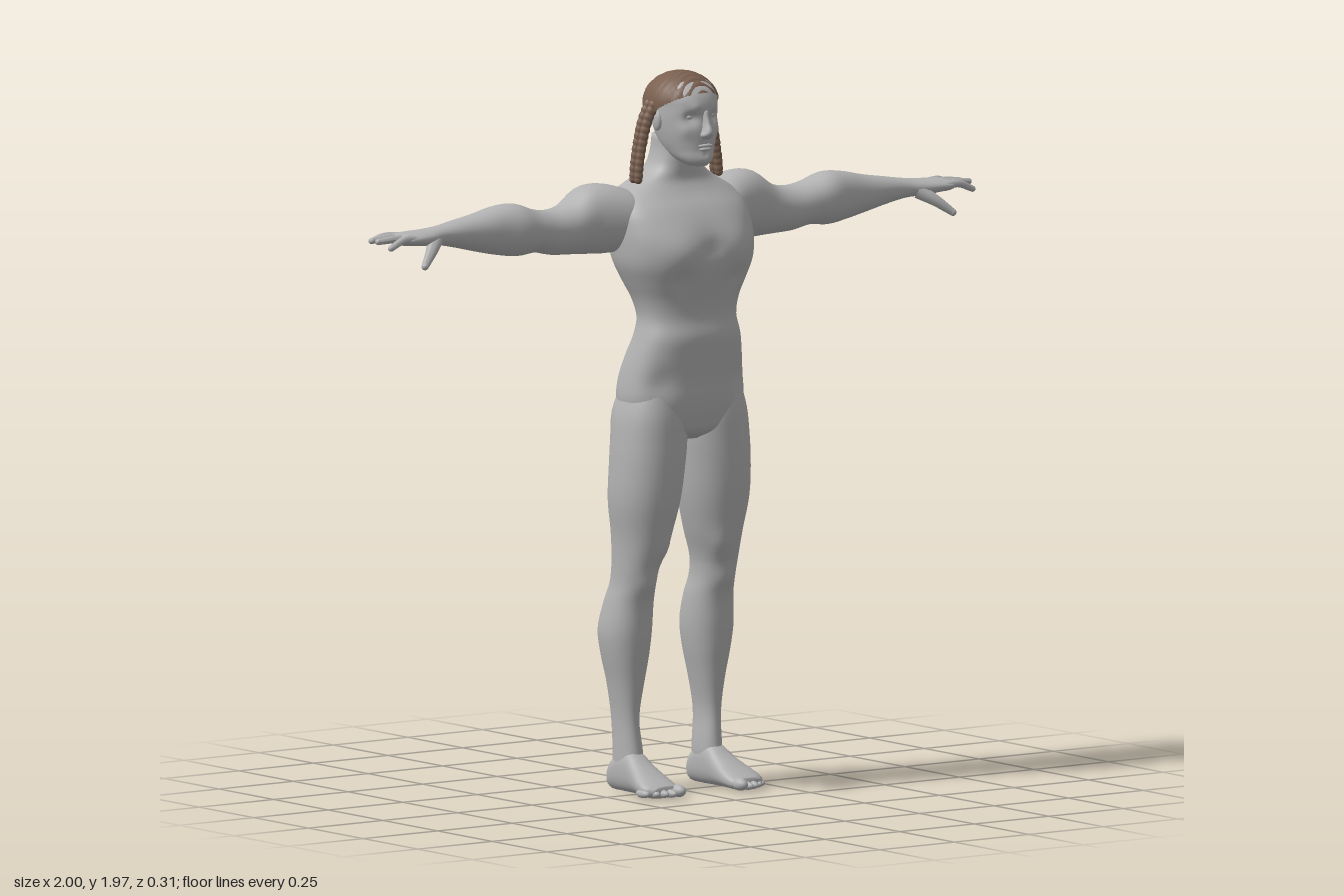
import * as THREE from 'three';

const skin = new THREE.MeshStandardMaterial({ color: 0xb2b2b2 });
skin.name = 'grey skin';
const brown = new THREE.MeshStandardMaterial({ color: 0x7a6050 });
brown.name = 'brown hair';

// Closed smooth body along an axis. Rings are [t, u0, u1, v0, v1] with t rising:
// along x the spans are y and z, along y they are z and x, along z they are x and y.
// Bumps are [x, y, z, radius, dx, dy, dz] and act on both halves when mirrored is set.
function loft(axis, rings, { p = 2.2, segs = 40, steps = 4, bumps = [], mirrored = false } = {}) {
  const w = 'xyz'.indexOf(axis), u = (w + 1) % 3, v = (w + 2) % 3;
  const curve = new THREE.CubicInterpolant(rings.map(r => r[0]), new Float32Array(rings.flatMap(r => r.slice(1))), 4);
  const pos = [], index = [];
  const add = (t, a, b) => {
    const q = [];
    q[w] = t; q[u] = a; q[v] = b;
    const side = mirrored && q[0] < 0 ? -1 : 1, o = [...q];
    for (const [x, y, z, r, dx, dy, dz] of bumps) {
      const d2 = (o[0] * side - x) ** 2 + (o[1] - y) ** 2 + (o[2] - z) ** 2;
      const k = Math.exp(-d2 / (r * r));
      q[0] += k * dx * side; q[1] += k * dy; q[2] += k * dz;
    }
    pos.push(...q);
  };
  const bend = c => Math.sign(c) * Math.abs(c) ** (2 / p);
  const n = (rings.length - 1) * steps;
  for (let i = 0; i <= n; i++) {
    const k = Math.min(Math.floor(i / steps), rings.length - 2);
    const t = THREE.MathUtils.lerp(rings[k][0], rings[k + 1][0], i / steps - k);
    const [u0, u1, v0, v1] = curve.evaluate(t);
    for (let j = 0; j < segs; j++) {
      const a = j / segs * Math.PI * 2;
      add(t, (u0 + u1) / 2 + (u1 - u0) / 2 * bend(Math.cos(a)), (v0 + v1) / 2 + (v1 - v0) / 2 * bend(Math.sin(a)));
      if (i < n) {
        const A = i * segs + j, B = i * segs + (j + 1) % segs;
        index.push(A, B, B + segs, A, B + segs, A + segs);
      }
    }
  }
  for (const [r, row, end] of [[rings[0], 0, false], [rings.at(-1), n, true]]) {
    const c = pos.length / 3;
    add(r[0], (r[1] + r[2]) / 2, (r[3] + r[4]) / 2);
    for (let j = 0; j < segs; j++) {
      const A = row * segs + j, B = row * segs + (j + 1) % segs;
      end ? index.push(c, A, B) : index.push(c, B, A);
    }
  }
  const g = new THREE.BufferGeometry();
  g.setAttribute('position', new THREE.Float32BufferAttribute(pos, 3));
  g.setIndex(index);
  g.computeVertexNormals();
  return g;
}

const sym = rows => rows.map(([y, z0, z1, x]) => [y, z0, z1, -x, x]);

function ball(x, y, z, rx, ry, rz) {
  return new THREE.SphereGeometry(1, 20, 14).scale(rx, ry, rz).translate(x, y, z);
}

// Tube through points with a radius rule, closed by a ball at its tip
function limb(points, radius, rows = 16) {
  const curve = new THREE.CatmullRomCurve3(points.map(q => new THREE.Vector3(...q)));
  const g = new THREE.TubeGeometry(curve, rows, 1, 10);
  const a = g.attributes.position, q = new THREE.Vector3();
  for (let i = 0; i < a.count; i++) {
    const t = Math.floor(i / 11) / rows, c = curve.getPointAt(t);
    q.fromBufferAttribute(a, i).sub(c).multiplyScalar(radius(t)).add(c);
    a.setXYZ(i, q.x, q.y, q.z);
  }
  g.computeVertexNormals();
  const r = radius(1);
  return [g, ball(...points.at(-1), r, r, r)];
}

function mirror(g) {
  const m = g.clone().scale(-1, 1, 1), a = m.index.array;
  for (let i = 0; i < a.length; i += 3) [a[i], a[i + 1]] = [a[i + 1], a[i]];
  m.computeVertexNormals();
  return m;
}

// Cap of swept hair: a dome whose lower edge follows the hairline
function hairCap() {
  const g = new THREE.SphereGeometry(1, 72, 48), a = g.attributes.position, uv = g.attributes.uv;
  for (let i = 0; i < a.count; i++) {
    const phi = uv.getX(i) * Math.PI * 2, f = Math.cos(phi);
    const reach = f > 0 ? 1.9 - 0.75 * f ** 0.8 : 1.9 + 0.22 * -f;
    const th = (1 - uv.getY(i)) * reach, s = Math.sin(th);
    const z = s * f, x = s * Math.sin(phi);
    const k = 1 + 0.012 * Math.sin(z * 34 + 2 * Math.cos(x * 5));
    a.setXYZ(i, x * 0.098 * k, 1.878 + Math.cos(th) * 0.087 * k, z * 0.113 * k);
  }
  g.computeVertexNormals();
  return g;
}

export function createModel() {
  const model = new THREE.Group();
  const put = (name, g, mat = skin) => {
    const mesh = new THREE.Mesh(g, mat);
    mesh.name = name;
    model.add(mesh);
  };
  const pair = (name, g, mat) => {
    put('left' + name, g, mat);
    put('right' + name, mirror(g), mat);
  };

  // Torso and neck, with chest, shoulder blades, spine groove and seat
  const bumps = [
    [0.09, 1.49, 0.13, 0.065, 0, 0, 0.014], [0, 1.49, 0.15, 0.025, 0, 0, -0.01],
    [0.09, 1.41, 0.13, 0.03, 0, 0, -0.008], [0.11, 1.53, -0.14, 0.06, 0, 0, -0.012],
    [0.075, 1.07, -0.12, 0.06, 0, 0, -0.022], [0, 1.06, -0.125, 0.03, 0, 0, 0.035],
    [0, 1.0, -0.11, 0.035, 0, 0, 0.03], [0.05, 1.25, -0.08, 0.04, 0, 0, -0.008],
    [0.13, 1.13, 0.09, 0.04, 0, 0, -0.008],
  ];
  for (let y = 1.18; y < 1.62; y += 0.05) bumps.push([0, y, -0.12, 0.035, 0, 0, 0.012]);
  put('torso', loft('y', sym([
    [0.965, -0.05, 0.05, 0.05], [0.985, -0.09, 0.085, 0.11], [1.02, -0.115, 0.1, 0.165], [1.07, -0.122, 0.11, 0.185],
    [1.13, -0.12, 0.113, 0.182], [1.2, -0.098, 0.122, 0.168], [1.25, -0.078, 0.128, 0.155], [1.3, -0.07, 0.118, 0.145],
    [1.35, -0.085, 0.122, 0.155], [1.4, -0.11, 0.135, 0.178], [1.45, -0.13, 0.145, 0.2], [1.5, -0.148, 0.145, 0.208],
    [1.55, -0.153, 0.128, 0.21], [1.6, -0.15, 0.095, 0.205], [1.64, -0.138, 0.055, 0.175], [1.67, -0.12, 0.035, 0.125],
    [1.7, -0.105, 0.035, 0.082], [1.74, -0.097, 0.04, 0.064], [1.79, -0.09, 0.045, 0.06],
  ]), { p: 2.4, segs: 72, bumps, mirrored: true }));

  // Legs
  pair('Leg', loft('y', [
    [0.04, -0.12, 0, 0.105, 0.165], [0.1, -0.115, -0.01, 0.1, 0.165], [0.2, -0.118, -0.02, 0.108, 0.166],
    [0.3, -0.13, -0.01, 0.092, 0.18], [0.37, -0.143, 0, 0.078, 0.195], [0.44, -0.15, 0.008, 0.07, 0.204],
    [0.52, -0.13, 0.015, 0.072, 0.195], [0.57, -0.112, 0.03, 0.078, 0.187], [0.62, -0.105, 0.045, 0.075, 0.187],
    [0.7, -0.11, 0.07, 0.05, 0.192], [0.8, -0.115, 0.092, 0.025, 0.207], [0.9, -0.112, 0.1, 0.012, 0.207],
    [0.97, -0.112, 0.1, 0.005, 0.203], [1.04, -0.115, 0.098, 0.005, 0.195], [1.12, -0.09, 0.085, 0.02, 0.17],
  ], { bumps: [[0.13, 0.57, 0.03, 0.03, 0, 0, 0.008], [0.1, 0.67, 0.05, 0.035, -0.004, 0, 0.008]] }));

  // Feet and toes
  pair('Foot', loft('z', [
    [-0.13, 0.12, 0.15, 0.015, 0.045], [-0.12, 0.105, 0.163, 0.005, 0.07], [-0.08, 0.1, 0.166, 0, 0.11],
    [-0.03, 0.098, 0.17, 0, 0.115], [0.02, 0.092, 0.182, 0, 0.085], [0.07, 0.086, 0.197, 0, 0.058],
    [0.105, 0.088, 0.196, 0, 0.042], [0.125, 0.095, 0.175, 0.005, 0.033],
  ], { p: 2.4 }));
  for (let i = 0; i < 5; i++) {
    const r = i ? 0.0115 : 0.017;
    pair('Toe' + (i + 1), ball(0.104 + i * 0.0215 + (i ? 0.003 : 0), r + 0.003, 0.128 - i * i * 0.0025, r, r, 0.028));
  }

  // Arms from shoulder to palm
  pair('Arm', loft('x', [
    [0.1, 1.52, 1.63, -0.13, 0.03], [0.17, 1.485, 1.655, -0.15, 0.04], [0.23, 1.478, 1.668, -0.153, 0.025],
    [0.28, 1.48, 1.662, -0.15, 0.012], [0.34, 1.484, 1.622, -0.14, 0.008], [0.4, 1.488, 1.61, -0.132, 0.008],
    [0.46, 1.5, 1.618, -0.13, 0.012], [0.52, 1.495, 1.638, -0.13, 0.015], [0.58, 1.503, 1.635, -0.124, 0.004],
    [0.65, 1.518, 1.62, -0.114, -0.004], [0.72, 1.535, 1.609, -0.1, -0.008], [0.78, 1.547, 1.6, -0.086, -0.008],
    [0.83, 1.55, 1.595, -0.092, 0.004], [0.88, 1.555, 1.592, -0.101, 0.01], [0.915, 1.56, 1.588, -0.1, 0.008],
    [0.925, 1.567, 1.582, -0.09, 0],
  ]));

  // Fingers and thumb: [root z, tip x, tip y, tip z]
  [[-0.088, 0.965, 1.568, -0.1], [-0.06, 0.985, 1.574, -0.069], [-0.031, 0.99, 1.575, -0.035], [-0.004, 0.975, 1.56, 0.003]]
    .forEach(([z, x, y, tz], i) => limb([[0.89, 1.575, z], [0.93, 1.578, (z + tz) / 2], [x, y, tz]], t => 0.0125 - 0.004 * t)
      .forEach(g => pair('Finger' + (i + 1), g)));
  limb([[0.81, 1.565, -0.02], [0.845, 1.54, 0.01], [0.885, 1.507, 0.036]], t => 0.021 - 0.011 * t)
    .forEach(g => pair('Thumb', g));

  // Head with eye sockets, brow, cheeks and chin
  put('head', loft('y', sym([
    [1.715, 0.05, 0.1, 0.025], [1.728, 0.01, 0.111, 0.043], [1.76, -0.05, 0.112, 0.061], [1.8, -0.075, 0.114, 0.073],
    [1.84, -0.088, 0.113, 0.079], [1.87, -0.093, 0.116, 0.08], [1.91, -0.092, 0.105, 0.08],
    [1.94, -0.075, 0.078, 0.064], [1.955, -0.04, 0.045, 0.04],
  ]), {
    segs: 64, steps: 6, mirrored: true, bumps: [
      [0.034, 1.85, 0.1, 0.02, 0, 0, -0.016], [0.034, 1.875, 0.11, 0.014, 0, 0, 0.005],
      [0.05, 1.815, 0.09, 0.022, 0.003, 0, 0.004], [0, 1.735, 0.11, 0.018, 0, 0, 0.006], [0, 1.747, 0.115, 0.008, 0, 0, -0.004],
    ],
  }));
  put('nose', loft('y', sym([
    [1.79, 0.095, 0.122, 0.01], [1.8, 0.09, 0.136, 0.018], [1.812, 0.09, 0.141, 0.014],
    [1.835, 0.09, 0.13, 0.009], [1.868, 0.09, 0.116, 0.01],
  ]), { segs: 24 }));
  put('upperLip', ball(0, 1.772, 0.112, 0.024, 0.005, 0.008));
  put('lowerLip', ball(0, 1.762, 0.111, 0.02, 0.0055, 0.008));
  pair('Eye', ball(0.034, 1.85, 0.083, 0.014, 0.009, 0.012));
  pair('Ear', ball(0.08, 1.835, 0, 0.01, 0.028, 0.017));

  // Hair cap and two hanging braids on each side
  put('hairCap', hairCap(), brown);
  for (const z of [-0.012, -0.034])
    limb([[0.085, 1.885, z + 0.01], [0.105, 1.84, z + 0.004], [0.122, 1.77, z], [0.132, 1.71, z], [0.135, 1.675, z]],
      t => 0.0135 - 0.003 * t + 0.002 * Math.abs(Math.sin(t * 38)), 72).forEach(g => pair('Braid', g, brown));
  brown.side = THREE.DoubleSide;

  return model;
}
